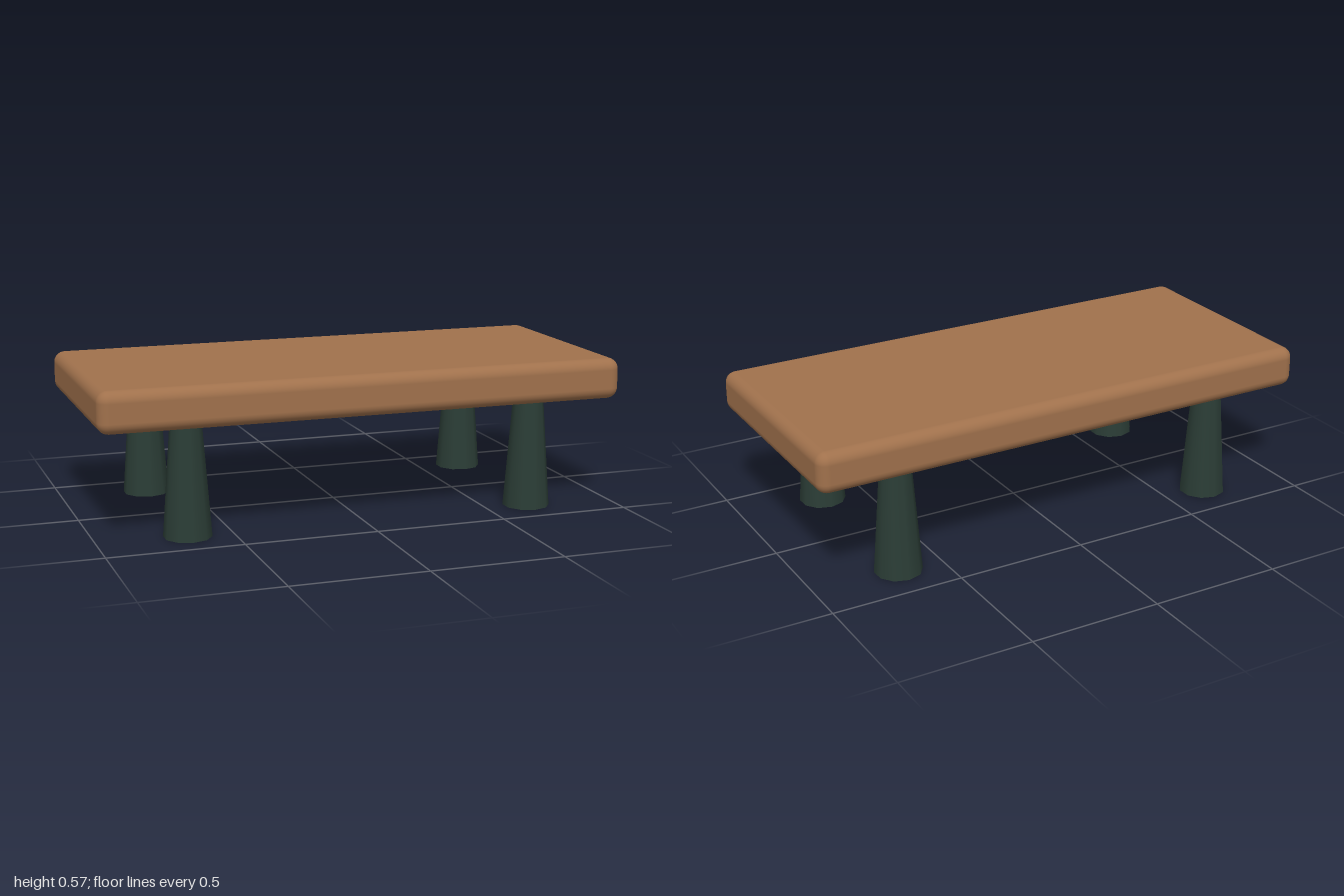
import * as THREE from 'three';
import { RoundedBoxGeometry } from 'three/addons/geometries/RoundedBoxGeometry.js';

export function createModel() {
  const model = new THREE.Group();
  model.name = 'lowTable';

  const wood = new THREE.MeshStandardMaterial({ color: 0xa0714c });
  const darkGreen = new THREE.MeshStandardMaterial({ color: 0x2b3d36 });

  // Thick slab with softened edges
  const slab = new THREE.Mesh(new RoundedBoxGeometry(2, 0.155, 0.889, 4, 0.042), wood);
  slab.name = 'tableTop';
  slab.position.y = 0.489;
  model.add(slab);

  // Four tapered ten-sided legs, their tops sunk into the slab
  const legHeight = 0.444;
  const legGeometry = new THREE.CylinderGeometry(0.0556, 0.0889, legHeight, 10);
  for (const [xName, x] of [['Left', 1], ['Right', -1]]) {
    for (const [zName, z] of [['front', 1], ['back', -1]]) {
      const leg = new THREE.Mesh(legGeometry, darkGreen);
      leg.name = `${zName}${xName}Leg`;
      leg.position.set(x * 0.667, legHeight / 2, z * 0.333);
      model.add(leg);
    }
  }

  return model;
}
